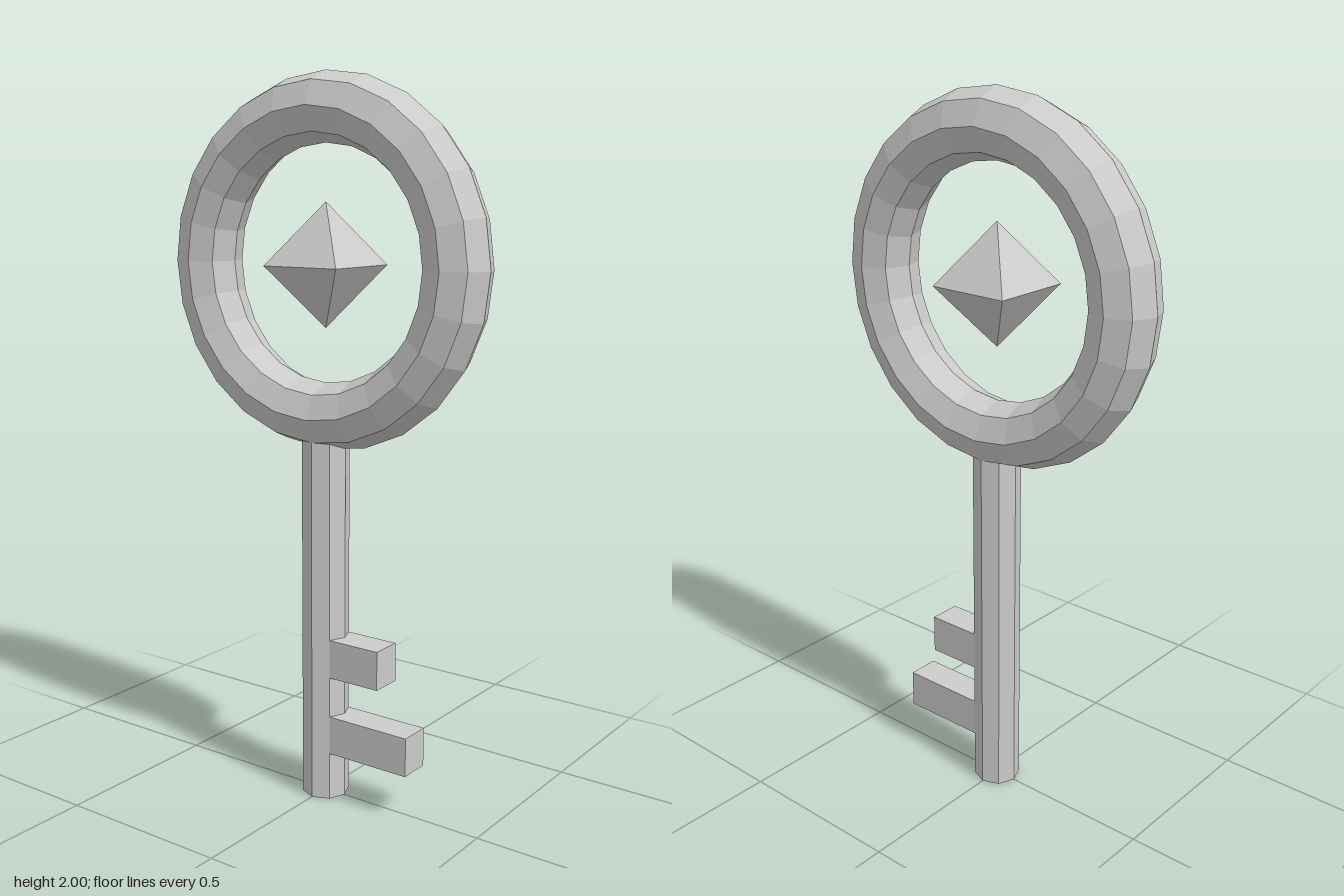
import * as THREE from 'three';

export function createModel() {
  const group = new THREE.Group();
  group.name = 'key';
  const metal = new THREE.MeshStandardMaterial({ color: 0xcccccc, flatShading: true });
  metal.name = 'light grey metal';

  const add = (name, geometry, x, y, z = 0) => {
    const mesh = new THREE.Mesh(geometry, metal);
    mesh.name = name;
    mesh.position.set(x, y, z);
    group.add(mesh);
    return mesh;
  };

  // Ring handle with an octagonal section
  add('ring', new THREE.TorusGeometry(0.409, 0.092, 8, 24), 0, 1.5);

  // Floating gem, turned so its faces look along the axes
  add('gem', new THREE.OctahedronGeometry(0.167), 0, 1.498).rotation.y = Math.PI / 4;

  // Eight-sided shaft, its top end buried in the ring
  const shaftHeight = 1.04;
  add('shaft', new THREE.CylinderGeometry(0.066, 0.066, shaftHeight, 8), 0, shaftHeight / 2);

  // Two teeth of different length, starting inside the shaft
  for (const [name, reach, y] of [['upperTooth', 0.205, 0.416], ['lowerTooth', 0.3, 0.191]]) {
    add(name, new THREE.BoxGeometry(reach, 0.11, 0.092), reach / 2, y);
  }

  return group;
}
